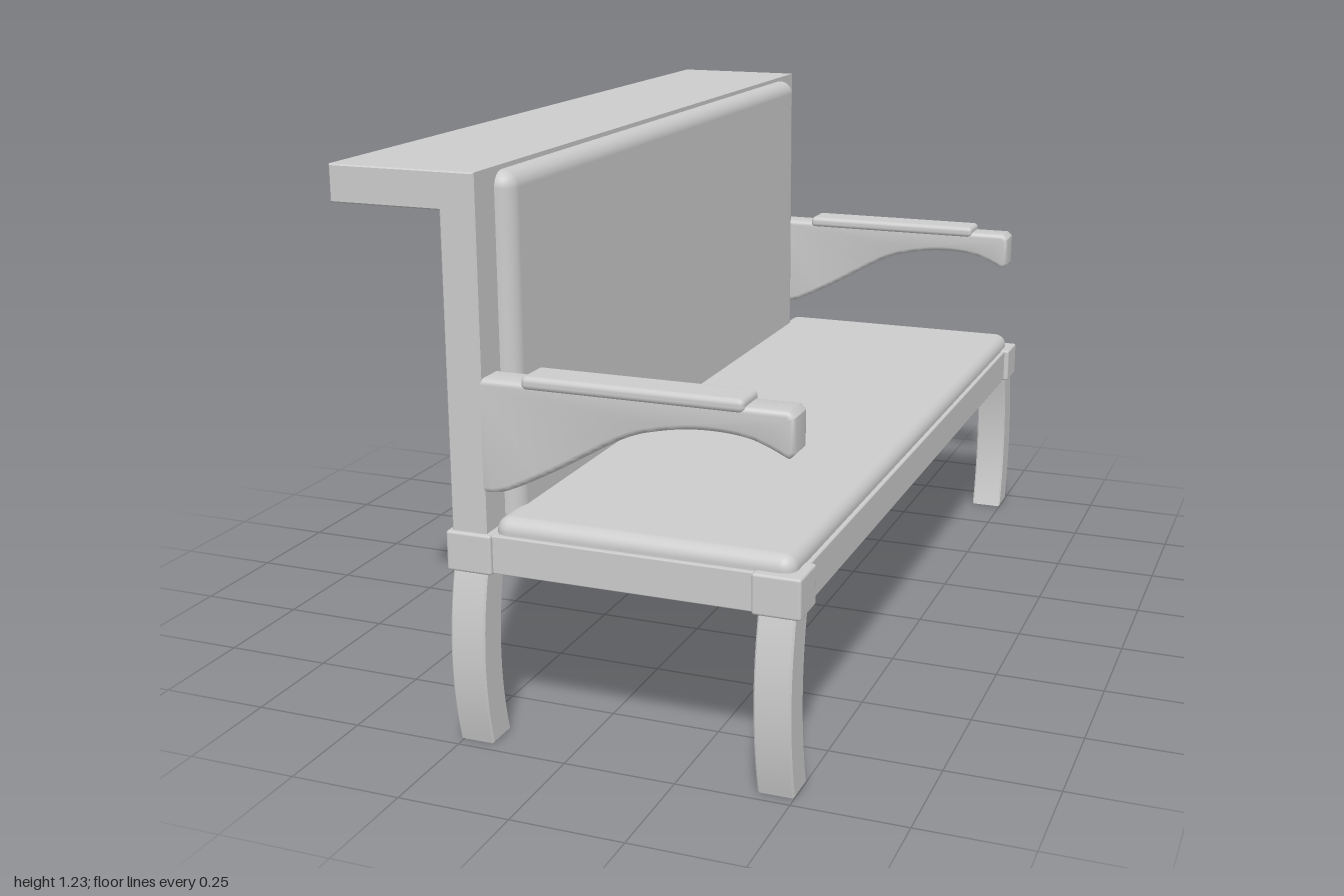
import * as THREE from 'three';
import { RoundedBoxGeometry } from 'three/addons/geometries/RoundedBoxGeometry.js';
import { toCreasedNormals } from 'three/addons/utils/BufferGeometryUtils.js';

const material = new THREE.MeshStandardMaterial({ color: 0xcccccc });

// Rounded box given by its min and max on each axis
function block(name, [x0, x1], [y0, y1], [z0, z1], radius, segments = 3) {
  const geometry = new RoundedBoxGeometry(x1 - x0, y1 - y0, z1 - z0, segments, radius);
  const mesh = new THREE.Mesh(geometry, material);
  mesh.position.set((x0 + x1) / 2, (y0 + y1) / 2, (z0 + z1) / 2);
  mesh.name = name;
  return mesh;
}

// Extrusion of a shape, centred on z, with softened edges inside the outline
function slab(shape, width, bevel, segments = 3) {
  const geometry = new THREE.ExtrudeGeometry(shape, {
    depth: width - 2 * bevel, bevelEnabled: true, bevelSize: bevel, bevelThickness: bevel,
    bevelOffset: -bevel, bevelSegments: segments, curveSegments: 12,
  });
  geometry.translate(0, 0, bevel - width / 2);
  return toCreasedNormals(geometry, 0.6);
}

const polygon = (points) => new THREE.Shape(points.map(([x, y]) => new THREE.Vector2(x, y)));

// Square leg bowed outward along z
function leg(x, side) {
  const height = 0.4, steps = 12, outer = [], inner = [];
  for (let i = 0; i <= steps; i++) {
    const t = i / steps;
    const z = 0.933 + 0.028 * 4 * t * (1 - t);
    outer.push([side * (z + 0.039), t * height]);
    inner.unshift([side * (z - 0.039), t * height]);
  }
  const geometry = slab(polygon([...outer, ...inner]), 0.08, 0.004, 1);
  geometry.rotateY(-Math.PI / 2);
  const mesh = new THREE.Mesh(geometry, material);
  mesh.position.x = x;
  mesh.name = 'leg';
  return mesh;
}

// Arm with a sweeping underside and a drooping tip
function arm(side) {
  const shape = new THREE.Shape();
  shape.moveTo(-0.2, 0.565);
  shape.lineTo(-0.18, 0.566);
  shape.splineThru([[-0.13, 0.575], [-0.02, 0.63], [0.12, 0.71], [0.2, 0.738], [0.3, 0.752],
    [0.4, 0.745], [0.48, 0.713]].map(([x, y]) => new THREE.Vector2(x, y)));
  shape.lineTo(0.492, 0.725);
  shape.lineTo(0.492, 0.798);
  shape.lineTo(0.48, 0.81);
  shape.lineTo(-0.2, 0.81);
  const group = new THREE.Group();
  group.name = 'armrest';
  const body = new THREE.Mesh(slab(shape, 0.08, 0.012), material);
  body.name = 'arm';
  body.position.z = side * 0.93;
  const z = side * 0.93;
  group.add(body, block('armPad', [-0.09, 0.39], [0.797, 0.826], [z - 0.045, z + 0.045], 0.012));
  return group;
}

export function createModel() {
  const model = new THREE.Group();
  model.name = 'bench';

  // Back panel with a shelf projecting behind it
  const backShape = polygon([[-0.26, 0.44], [-0.18, 0.44], [-0.18, 1.232], [-0.512, 1.232],
    [-0.512, 1.152], [-0.26, 1.152]]);
  const back = new THREE.Mesh(slab(backShape, 1.94, 0.003, 1), material);
  back.name = 'backAndShelf';
  model.add(back);

  // Seat frame and cushions
  model.add(
    block('seatFrame', [-0.26, 0.5], [0.39, 0.474], [-0.97, 0.97], 0.003, 1),
    block('seatCushion', [-0.17, 0.49], [0.43, 0.51], [-0.96, 0.96], 0.03, 4),
    block('backCushion', [-0.22, -0.142], [0.46, 1.222], [-0.885, 0.885], 0.035, 4),
  );

  // Legs, corner blocks and arms on both ends
  for (const side of [1, -1]) {
    for (const x of [-0.219, 0.46]) {
      const z = side * 0.931;
      model.add(leg(x, side));
      model.add(block('cornerBlock', [x - 0.052, x + 0.052], [0.388, 0.476],
        [z - 0.049, z + 0.049], 0.006, 2));
    }
    model.add(arm(side));
  }
  return model;
}
